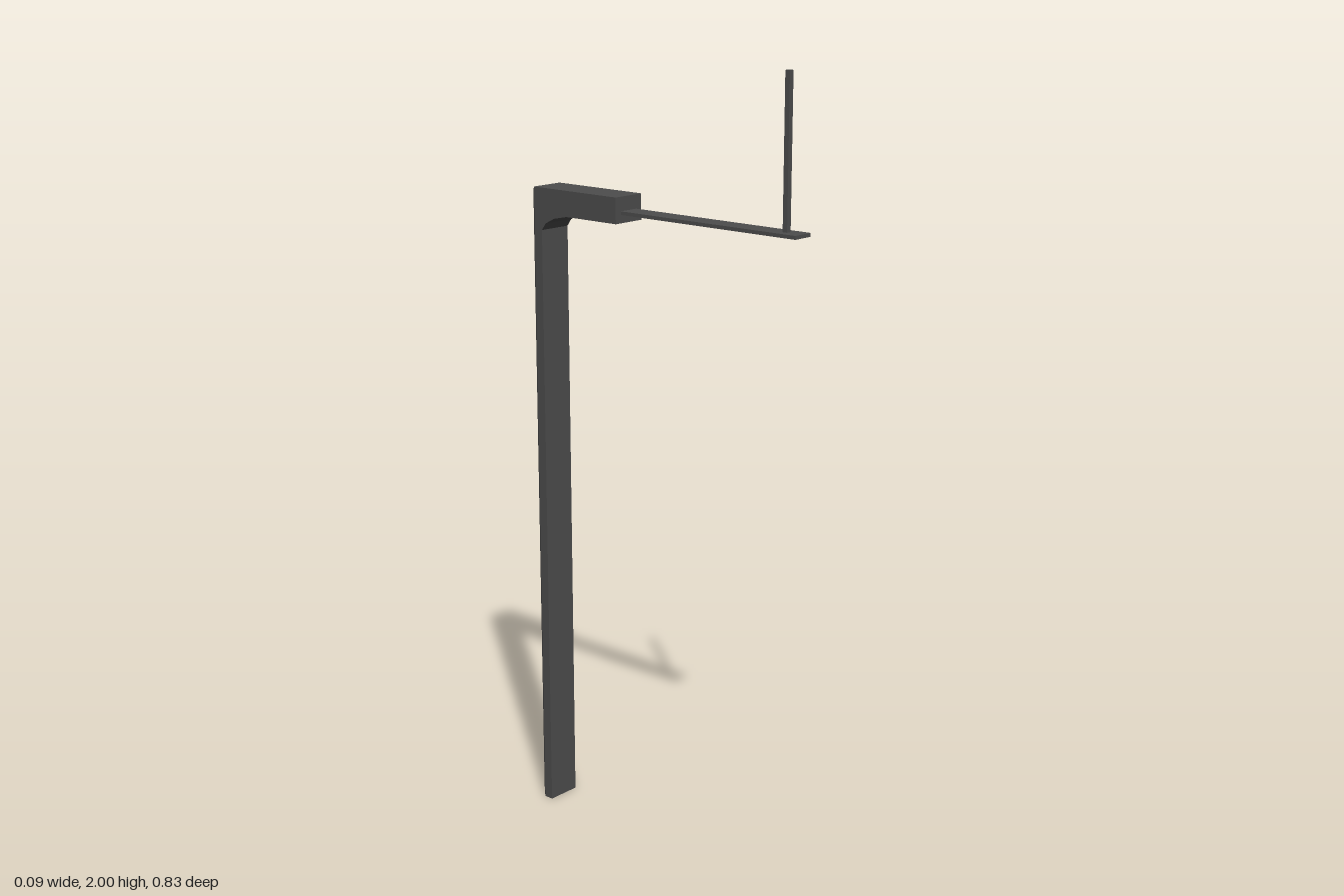
import * as THREE from 'three';

export function createModel() {
  const group = new THREE.Group();
  const grey = new THREE.MeshStandardMaterial({ color: 0x4d4d4d });
  grey.name = 'dark grey';

  const add = (name, geometry, x = 0, y = 0, z = 0) => {
    const mesh = new THREE.Mesh(geometry, grey);
    mesh.name = name;
    mesh.position.set(x, y, z);
    group.add(mesh);
    return mesh;
  };

  const width = 0.092, top = 1.672;
  const seam = -0.397, back = -0.417;

  // Post and overhanging arm: side profile (z, y) with a faceted inner corner
  const profile = [
    [seam, 0], [-0.371, 0], [-0.371, 1.565], [-0.358, 1.583], [-0.328, 1.598],
    [-0.285, 1.607], [-0.118, 1.607], [-0.118, top], [seam, top],
  ];
  const shape = new THREE.Shape(profile.map(([z, y]) => new THREE.Vector2(z, y)));
  const body = new THREE.ExtrudeGeometry(shape, { depth: width, bevelEnabled: false });
  body.translate(0, 0, -width / 2);
  body.rotateY(-Math.PI / 2);
  add('postAndArm', body);

  // Back of the post, bevelled on all four edges
  const bevel = 0.018;
  const backPlate = new THREE.BoxGeometry(width, top, seam - back);
  const pos = backPlate.attributes.position;
  for (let i = 0; i < pos.count; i++) {
    if (pos.getZ(i) < 0) {
      pos.setX(i, pos.getX(i) - Math.sign(pos.getX(i)) * bevel);
      pos.setY(i, pos.getY(i) - Math.sign(pos.getY(i)) * bevel);
    }
  }
  backPlate.computeVertexNormals();
  add('bevelledBack', backPlate, 0, top / 2, (seam + back) / 2);

  // Thin blade reaching forward from the arm
  add('blade', new THREE.BoxGeometry(0.056, 0.009, 0.537), 0, 1.632, 0.1485);

  // Upright pin near the blade tip
  add('pin', new THREE.BoxGeometry(0.013, 0.366, 0.013), 0, 1.817, 0.37);

  return group;
}
